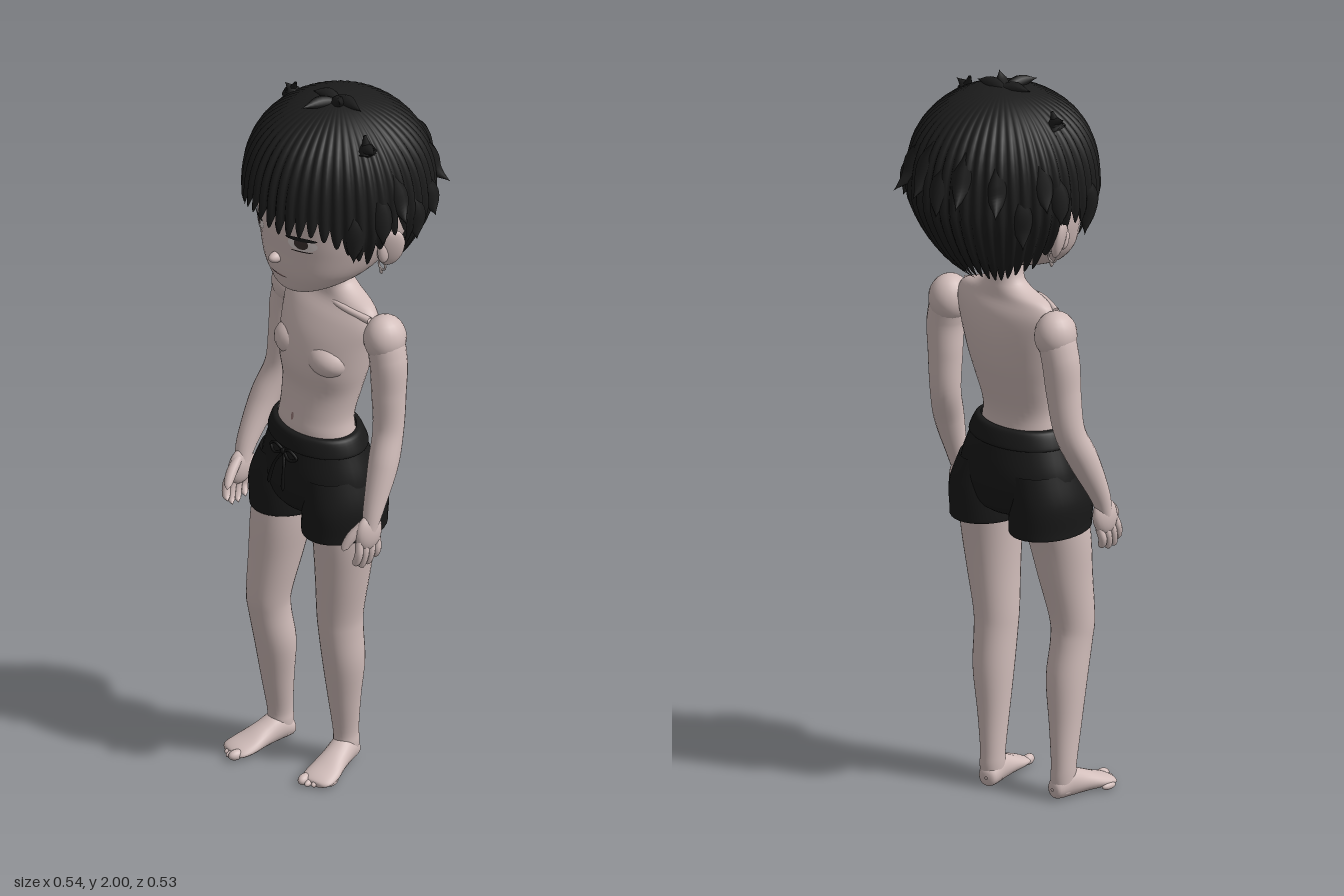
import * as THREE from 'three';

const paint = (color, side = THREE.FrontSide) => new THREE.MeshStandardMaterial({ color, side });
const V = (p) => new THREE.Vector3(...p);

// Closed-ring surface: fn(u, angle) gives a point, u runs from bottom to top
function grid(nu, na, fn) {
  const pos = [], idx = [];
  for (let i = 0; i <= nu; i++)
    for (let j = 0; j < na; j++) pos.push(...fn(i / nu, (j / na) * Math.PI * 2));
  for (let i = 0; i < nu; i++)
    for (let j = 0; j < na; j++) {
      const a = i * na + j, b = i * na + ((j + 1) % na);
      idx.push(a, b, a + na, b, b + na, a + na);
    }
  const g = new THREE.BufferGeometry();
  g.setAttribute('position', new THREE.Float32BufferAttribute(pos, 3));
  g.setIndex(idx);
  g.computeVertexNormals();
  return g;
}

// Smooth interpolation of a list of number rows, u in 0..1
function rowAt(rows, u) {
  const f = u * (rows.length - 1), i = Math.min(Math.floor(f), rows.length - 2), t = f - i;
  const row = (k) => rows[Math.max(0, Math.min(rows.length - 1, k))];
  return row(i).map((b, c) => {
    const a = row(i - 1)[c], d = row(i + 1)[c], e = row(i + 2)[c];
    return b + 0.5 * t * (d - a + t * (2 * a - 5 * b + 4 * d - e + t * (3 * (b - d) + e - a)));
  });
}

// Body from elliptical sections [y, centreX, centreZ, radiusX, radiusZ], listed upwards
const loft = (rows, n = 32) => grid(rows.length * 4, n, (u, a) => {
  const [y, cx, cz, rx, rz] = rowAt(rows, u);
  return [cx + rx * Math.sin(a), y, cz + rz * Math.cos(a)];
});

// Front surface depth of a loft at (x, y)
function frontZ(rows, x, y) {
  let lo = 0, hi = 1;
  for (let i = 0; i < 24; i++) {
    const m = (lo + hi) / 2;
    if (rowAt(rows, m)[0] < y) lo = m; else hi = m;
  }
  const [, cx, cz, rx, rz] = rowAt(rows, lo);
  return cz + rz * Math.sqrt(Math.max(0, 1 - ((x - cx) / rx) ** 2));
}

// Thin oval laid on the front of a loft
function patch(rows, x, y, rx, ry, lift) {
  const g = new THREE.RingGeometry(0, 1, 24, 4).scale(rx, ry, 1).translate(x, y, 0);
  const p = g.attributes.position;
  for (let i = 0; i < p.count; i++) p.setZ(i, frontZ(rows, p.getX(i), p.getY(i)) + lift);
  g.computeVertexNormals();
  return g;
}

// Tube of varying radius through points
function sweep(points, radii, seg = 24, n = 12) {
  const curve = new THREE.CatmullRomCurve3(points.map(V));
  const g = new THREE.TubeGeometry(curve, seg, 1, n);
  const p = g.attributes.position, v = new THREE.Vector3(), rows = radii.map((r) => [r]);
  for (let i = 0; i < p.count; i++) {
    const u = Math.floor(i / (n + 1)) / seg, c = curve.getPointAt(u);
    const r = Math.max(0, rowAt(rows, curve.getUtoTmapping(u))[0]);
    v.fromBufferAttribute(p, i).sub(c).multiplyScalar(r).add(c);
    p.setXYZ(i, v.x, v.y, v.z);
  }
  return g;
}

const ball = (c, s) => new THREE.SphereGeometry(1, 20, 14).scale(...s).translate(...c);

const HEAD = [
  [1.457, 0, 0.14, 0.005, 0.005], [1.462, 0, 0.135, 0.035, 0.032], [1.476, 0, 0.12, 0.075, 0.067],
  [1.50, 0, 0.085, 0.115, 0.112], [1.54, 0, 0.055, 0.155, 0.152], [1.60, 0, 0.02, 0.185, 0.192],
  [1.66, 0, 0.005, 0.2, 0.212], [1.75, 0, 0, 0.208, 0.218], [1.85, 0, 0, 0.185, 0.195],
  [1.92, 0, 0, 0.12, 0.12], [1.94, 0, 0, 0.01, 0.01]];
const TORSO = [
  [0.96, 0, 0.065, 0.125, 0.09], [1.03, 0, 0.075, 0.118, 0.086], [1.08, 0, 0.07, 0.114, 0.083],
  [1.15, 0, 0.055, 0.125, 0.088], [1.22, 0, 0.048, 0.142, 0.1], [1.30, 0, 0.033, 0.157, 0.094],
  [1.36, 0, 0.02, 0.165, 0.075], [1.40, 0, 0.012, 0.145, 0.052], [1.425, 0, 0.01, 0.085, 0.045],
  [1.45, 0, 0.012, 0.052, 0.042], [1.50, 0, 0.02, 0.045, 0.045], [1.57, 0, 0.03, 0.045, 0.045]];
const LEG_L = [
  [0.02, 0.057, 0.022, 0.028, 0.032], [0.06, 0.057, 0.022, 0.031, 0.036], [0.1, 0.057, 0.024, 0.031, 0.036],
  [0.2, 0.065, 0.035, 0.04, 0.045], [0.32, 0.074, 0.045, 0.052, 0.058], [0.42, 0.076, 0.056, 0.054, 0.062],
  [0.48, 0.078, 0.06, 0.057, 0.065], [0.6, 0.09, 0.062, 0.068, 0.075], [0.72, 0.097, 0.062, 0.079, 0.086],
  [0.86, 0.095, 0.06, 0.085, 0.1]];
const LEG_R = [
  [0.02, -0.137, 0.08, 0.028, 0.032], [0.06, -0.137, 0.082, 0.031, 0.036], [0.1, -0.137, 0.085, 0.032, 0.036],
  [0.2, -0.128, 0.1, 0.041, 0.045], [0.32, -0.118, 0.116, 0.053, 0.056], [0.42, -0.117, 0.135, 0.053, 0.058],
  [0.48, -0.115, 0.14, 0.057, 0.062], [0.6, -0.105, 0.125, 0.069, 0.074], [0.72, -0.098, 0.108, 0.081, 0.086],
  [0.86, -0.095, 0.075, 0.085, 0.1]];
const FOOT = [ // along the length, centre height negative
  [-0.038, 0, -0.03, 0.004, 0.004], [-0.03, 0, -0.03, 0.024, 0.025], [0.01, 0, -0.042, 0.034, 0.041],
  [0.06, 0.002, -0.032, 0.038, 0.032], [0.11, 0.004, -0.021, 0.046, 0.021], [0.145, 0.004, -0.015, 0.044, 0.014],
  [0.16, 0.004, -0.012, 0.03, 0.009], [0.163, 0.004, -0.012, 0.003, 0.002]];
// Hair hem height by angle from the front, in degrees
const HEM = [[0, 1.69], [35, 1.685], [58, 1.64], [72, 1.59], [82, 1.67], [95, 1.67], [106, 1.52], [125, 1.5], [180, 1.475]];

function hemAt(deg) {
  const i = Math.max(1, HEM.findIndex((h) => h[0] >= deg)), [a, ya] = HEM[i - 1], [b, yb] = HEM[i];
  return ya + ((yb - ya) * (deg - a)) / (b - a);
}
function hairRadius(y) {
  const t = y > 1.7 ? Math.min(1, (y - 1.7) / 0.28) ** 2.6 : Math.min(0.97, (1.7 - y) / 0.26) ** 1.3;
  return 0.25 * Math.sqrt(1 - t);
}

export function createModel() {
  const model = new THREE.Group();
  const skin = paint(0xd2bebb, THREE.DoubleSide), black = paint(0x1c1c1c, THREE.DoubleSide);
  const cloth = paint(0x191919, THREE.DoubleSide), cord = paint(0x101010);
  const white = paint(0xddd2d0), iris = paint(0x3a302f), lip = paint(0x9a7d7b), metal = paint(0xb9aca9);
  const add = (name, geo, mat) => {
    const m = new THREE.Mesh(geo, mat);
    m.name = name;
    model.add(m);
    return m;
  };

  // Torso and head
  add('torso', loft(TORSO, 40), skin);
  add('navel', patch(TORSO, 0, 1.07, 0.005, 0.011, 0.002), lip);
  add('head', loft(HEAD, 48), skin);
  add('nose', ball([0, 1.574, 0.207], [0.016, 0.015, 0.027]), skin);
  add('mouth', patch(HEAD, 0, 1.523, 0.032, 0.003, 0.002), lip);

  for (const s of [1, -1]) {
    add('chest', ball([s * 0.066, 1.25, 0.085], [0.066, 0.05, 0.058]), skin);
    add('collarbone', sweep([[s * 0.02, 1.40, 0.055], [s * 0.08, 1.40, 0.055], [s * 0.16, 1.385, 0.03]], [0.004, 0.008, 0.01], 10, 8), skin);
    add('shoulder', ball([s * 0.187, 1.335, 0], [0.055, 0.065, 0.058]), skin);
    // Eyes
    const x = s * 0.086;
    add('eyeWhite', patch(HEAD, x, 1.645, 0.037, 0.021, 0.002), white);
    add('iris', patch(HEAD, x, 1.648, 0.018, 0.017, 0.004), iris);
    add('upperLash', patch(HEAD, x, 1.663, 0.04, 0.006, 0.006), black);
    add('lowerLash', patch(HEAD, x, 1.624, 0.03, 0.0018, 0.004), iris);
    // Ears and earrings
    const ear = add('ear', new THREE.SphereGeometry(1, 20, 14).scale(0.016, 0.06, 0.036), skin);
    ear.position.set(s * 0.205, 1.615, -0.005);
    ear.rotation.set(-0.15, s * -0.45, s * -0.3);
    add('earInner', ball([s * 0.2, 1.61, 0.015], [0.013, 0.035, 0.018]), skin);
    add('earring', new THREE.TorusGeometry(0.013, 0.003, 8, 20).translate(s * 0.175, 1.55, 0), metal);
    add('earringDrop', ball([s * 0.172, 1.532, 0], [0.005, 0.01, 0.005]), metal);
  }

  // Hair cap with ridged strands and a jagged hem
  add('hair', grid(22, 288, (u, a) => {
    const deg = Math.abs(a > Math.PI ? a - 2 * Math.PI : a) * 180 / Math.PI;
    const ridge = Math.abs(Math.sin(a * 24)), h = 1 - u;
    const hem = hemAt(deg) + 0.045 * (1 - ridge) - 0.012 * Math.sin(a * 7);
    const y = 1.98 - (1.98 - hem) * (1 - Math.cos(h * Math.PI / 2)) * (1 - 0.04 * Math.sin(h * Math.PI));
    const r = hairRadius(y) * (0.965 + 0.05 * ridge * Math.min(1, h * 2));
    return [r * Math.sin(a), y, r * Math.cos(a)];
  }), black);

  // Flicked locks: angle, root height, tip radius, tip height
  for (const [deg, y0, tr, ty] of [
    [91, 1.80, 0.268, 1.715], [78, 1.76, 0.245, 1.66], [-111, 1.80, 0.262, 1.72], [-100, 1.76, 0.25, 1.67],
    [-141, 1.80, 0.283, 1.72], [-164, 1.82, 0.272, 1.73], [164, 1.82, 0.272, 1.72], [144, 1.80, 0.288, 1.71],
    [-125, 1.72, 0.25, 1.62], [125, 1.74, 0.26, 1.66], [-85, 1.9, 0.2, 1.935], [75, 1.9, 0.225, 1.925],
    [180, 1.78, 0.255, 1.69], [106, 1.72, 0.245, 1.63], [-70, 1.72, 0.23, 1.60], [60, 1.72, 0.23, 1.61]]) {
    const a = deg * Math.PI / 180, at = (r, y) => [r * Math.sin(a), y, r * Math.cos(a)];
    const r0 = hairRadius(y0), ym = (y0 + ty) / 2;
    add('hairLock', sweep([at(r0 - 0.03, y0 + 0.05), at(r0 - 0.012, y0), at(hairRadius(ym) - 0.004, ym), at(tr, ty)],
      [0.004, 0.026, 0.022, 0], 14, 8), black);
  }
  // Tuft on the crown
  for (const [x, y, z] of [[0.05, 2.0, 0.04], [0.09, 1.975, 0.0], [-0.07, 1.975, 0.03], [-0.02, 1.975, 0.11]])
    add('crownTuft', sweep([[-x * 0.3, 1.965, 0], [x * 0.4, 1.978, z * 0.5], [x, y, z]], [0.006, 0.018, 0], 10, 8), black);

  // Arms and hands: side, joints, wrist
  for (const [s, arm] of [
    [1, [[0.1, 1.35, 0], [0.175, 1.345, 0], [0.2, 1.28, 0], [0.203, 1.18, 0], [0.207, 1.07, 0.005], [0.222, 0.98, 0.035], [0.23, 0.86, 0.075], [0.23, 0.8, 0.09]]],
    [-1, [[-0.1, 1.35, 0], [-0.175, 1.345, 0], [-0.202, 1.28, 0], [-0.21, 1.18, 0.005], [-0.222, 1.07, 0.015], [-0.235, 0.98, 0.055], [-0.238, 0.86, 0.115], [-0.235, 0.8, 0.135]]]]) {
    add('arm', sweep(arm, [0, 0.045, 0.05, 0.046, 0.041, 0.04, 0.027, 0.02], 48, 20), skin);
    const hand = new THREE.Group();
    hand.name = 'hand';
    hand.position.set(...arm[7]);
    hand.rotation.x = s > 0 ? -0.1 : -0.3;
    const part = (g, name) => {
      const m = new THREE.Mesh(g, skin);
      m.name = name;
      hand.add(m);
    };
    part(ball([0, 0, 0], [0.021, 0.052, 0.041]), 'palm');
    for (let i = 0; i < 4; i++) {
      const z = 0.03 - i * 0.02, l = [0.095, 0.105, 0.1, 0.085][i];
      part(sweep([[0, -0.02, z], [s * 0.004, -0.055, z], [-s * 0.006, -l + 0.01, z], [-s * 0.016, -l, z]],
        [0.01, 0.0115, 0.01, 0], 14, 10), 'finger');
    }
    part(sweep([[-s * 0.004, 0.025, 0.02], [-s * 0.016, -0.01, 0.044], [-s * 0.026, -0.042, 0.056], [-s * 0.028, -0.054, 0.056]],
      [0.012, 0.014, 0.01, 0], 14, 10), 'thumb');
    model.add(hand);
  }

  // Legs and feet
  for (const [rows, s, yaw] of [[LEG_L, 1, 0.3], [LEG_R, -1, -0.1]]) {
    add('leg', loft(rows), skin);
    const foot = new THREE.Group();
    foot.name = 'foot';
    foot.position.set(rows[1][1], 0, rows[1][2]);
    foot.rotation.y = yaw;
    foot.add(new THREE.Mesh(loft(FOOT, 24).rotateX(Math.PI / 2), skin));
    for (let i = 0; i < 5; i++) {
      const r = i ? 0.0095 : 0.014;
      foot.add(new THREE.Mesh(ball([s * (-0.027 + i * 0.0165), r, 0.158 - i * i * 0.0022], [r, r, 0.022]), skin));
    }
    model.add(foot);
  }

  // Shorts with waistband
  add('shortsBody', loft([[0.77, 0, 0.066, 0.01, 0.03], [0.80, 0, 0.066, 0.11, 0.1], [0.85, 0, 0.068, 0.175, 0.122],
    [0.91, 0, 0.067, 0.175, 0.124], [0.98, 0, 0.069, 0.15, 0.11], [1.03, 0, 0.073, 0.129, 0.096]], 40), cloth);
  add('waistband', loft([[0.985, 0, 0.07, 0.148, 0.109], [0.99, 0, 0.07, 0.152, 0.114], [1.027, 0, 0.073, 0.136, 0.102], [1.033, 0, 0.073, 0.12, 0.088]], 40), cloth);
  for (const s of [1, -1]) {
    const cz = s > 0 ? 0.062 : 0.075;
    add('shortsLeg', loft([[0.755, s * 0.096, cz, 0.085, 0.108], [0.75, s * 0.098, cz, 0.094, 0.121], [0.77, s * 0.098, cz, 0.095, 0.123],
      [0.84, s * 0.1, cz, 0.095, 0.122], [0.92, s * 0.085, 0.067, 0.085, 0.108]]), cloth);
    // Drawstring bow
    add('bowLoop', sweep([[0, 0.975, 0.185], [s * 0.03, 0.99, 0.19], [s * 0.052, 0.972, 0.185], [s * 0.03, 0.962, 0.192], [0, 0.975, 0.185]],
      [0.004, 0.004, 0.004, 0.004, 0.004], 24, 8), cord);
    add('bowTail', sweep([[0, 0.975, 0.185], [s * 0.018, 0.94, 0.2], [s * 0.028, 0.885, 0.212], [s * 0.029, 0.875, 0.212]],
      [0.004, 0.004, 0.005, 0], 16, 8), cord);
  }
  add('bowKnot', ball([0, 0.975, 0.186], [0.009, 0.008, 0.008]), cord);
  return model;
}
